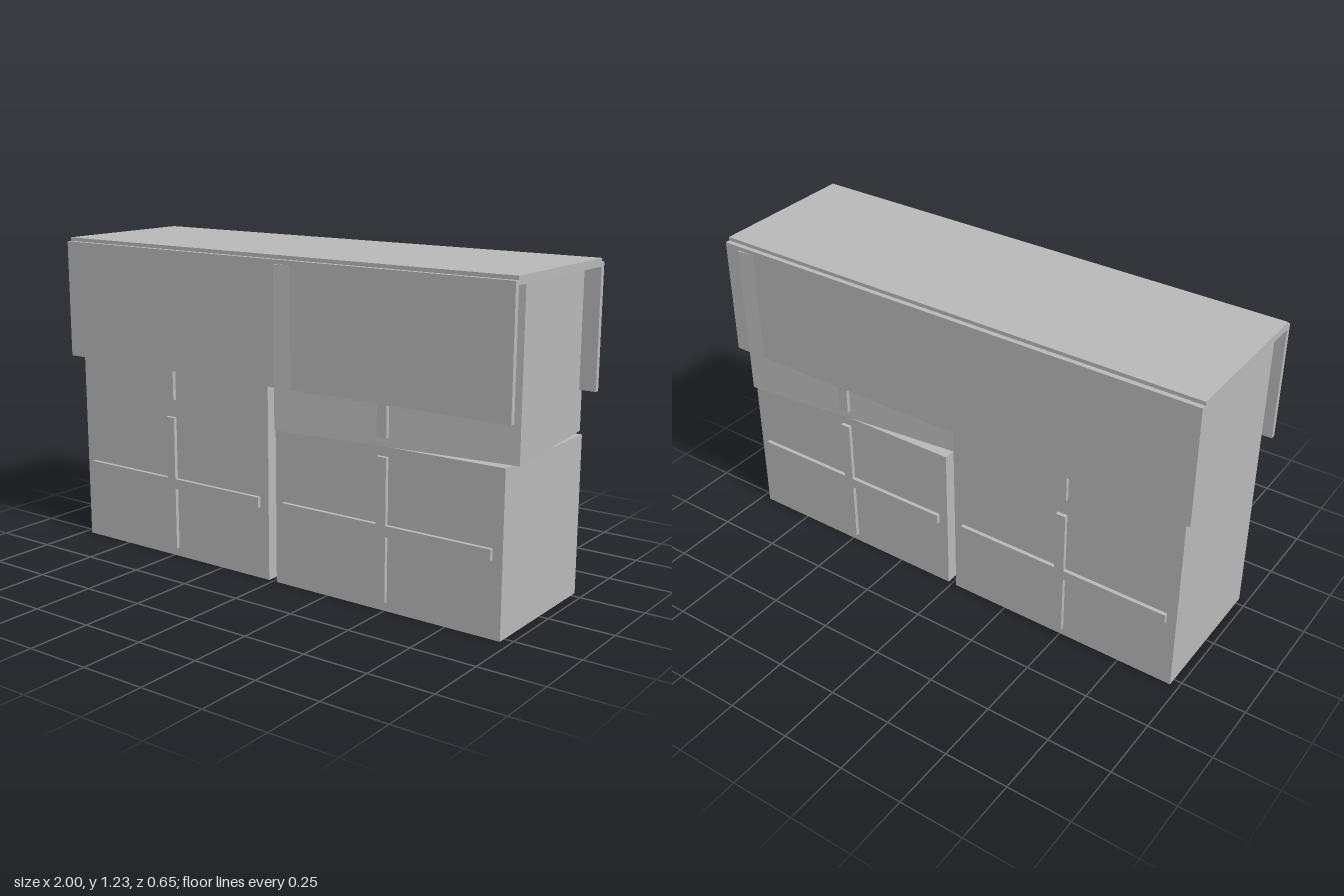
import * as THREE from 'three';

export function createModel() {
  const model = new THREE.Group();
  model.name = 'coveredCrateStack';
  const grey = new THREE.MeshStandardMaterial({ color: 0xb8b8b8 });
  grey.name = 'plain grey';

  const addBox = (parent, name, w, h, d, x, y, z) => {
    const mesh = new THREE.Mesh(new THREE.BoxGeometry(w, h, d), grey);
    mesh.name = name;
    mesh.position.set(x, y, z);
    parent.add(mesh);
    return mesh;
  };

  // Crates in two columns of two; the top left one sits slightly askew
  const W = 0.948, H = 0.6, D = 0.56;
  for (const [side, x] of [['right', -0.494], ['left', 0.49]]) {
    for (const row of [0, 1]) {
      const crate = new THREE.Group();
      crate.name = side + (row ? 'Upper' : 'Lower') + 'Crate';
      crate.position.set(x, H * (row + 0.5), 0);
      model.add(crate);

      const body = addBox(crate, 'crateBody', W, H, D, 0, 0, 0);
      if (side === 'left' && row) body.rotation.y = 0.1;

      // Crossed battens on front and back, kept square to the stack
      for (const s of [1, -1]) {
        const z = s * (D / 2 + 0.0075);
        addBox(crate, 'horizontalBatten', 0.872, 0.04, 0.015, 0, 0, z);
        for (const v of [1, -1]) {
          addBox(crate, 'verticalBatten', 0.04, 0.245, 0.015, 0, v * 0.1425, z);
        }
      }
    }
  }

  // Cover sheet: flat top with a hanging flap on front and back
  const cover = new THREE.Group();
  cover.name = 'cover';
  model.add(cover);
  addBox(cover, 'coverTop', 2, 0.03, 0.6, 0, 1.215, 0);
  for (const s of [1, -1]) {
    addBox(cover, s > 0 ? 'frontFlap' : 'backFlap', 2, 0.46, 0.02, 0, 0.986, s * 0.309);
  }

  return model;
}
